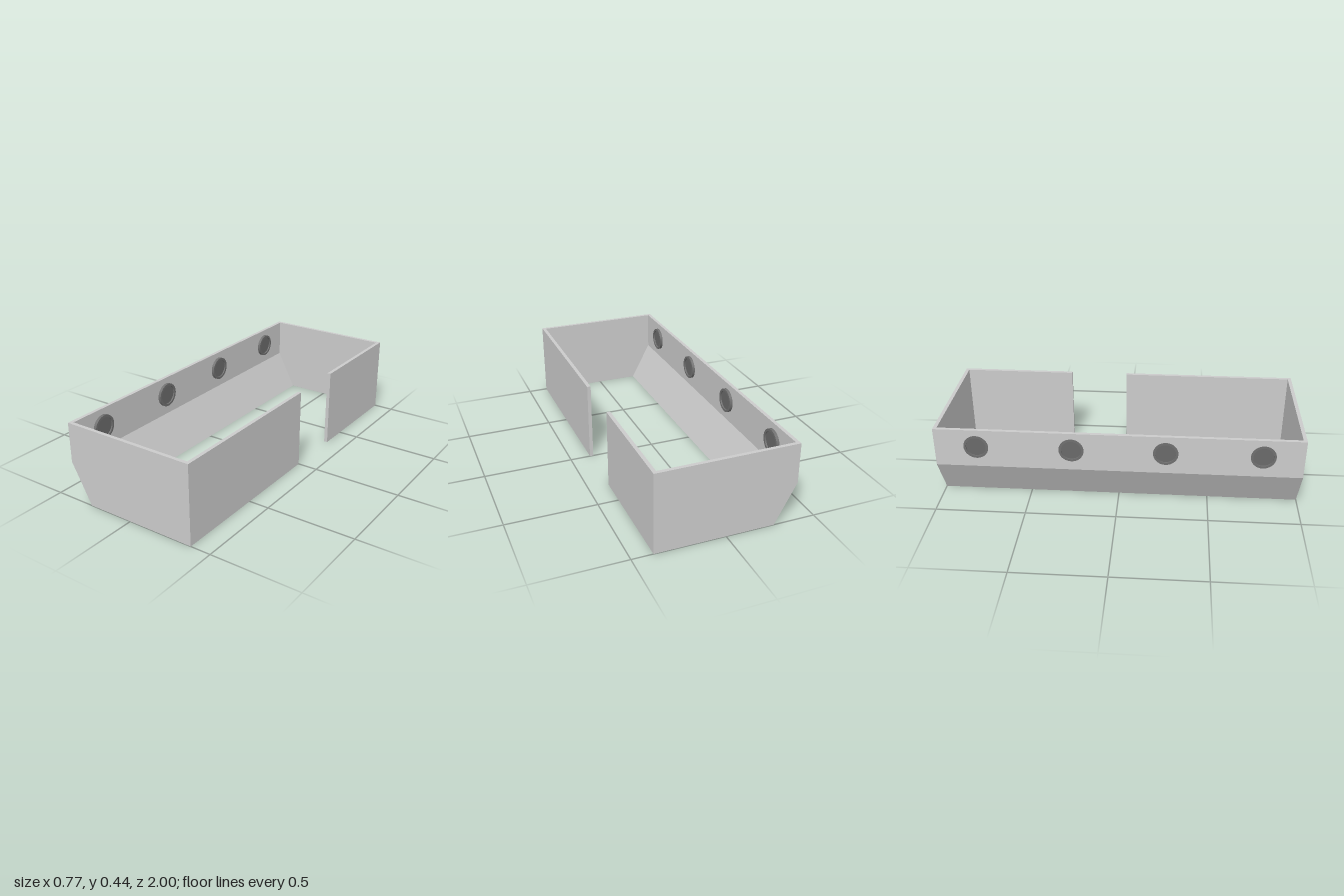
import * as THREE from 'three';

const H = 0.445, X = 0.385, T = 0.02, KNEE = 0.222, FOOT = -0.267;
const PORT_Y = 0.343, PORT_R = 0.068, GLASS_R = 0.055;
const PORT_Z = [-0.77, -0.25, 0.26, 0.78];

const grey = new THREE.MeshStandardMaterial({ color: 0xcccccc });
const darkRim = new THREE.MeshStandardMaterial({ color: 0x707070 });
const darkGlass = new THREE.MeshStandardMaterial({ color: 0x6a6a6a });

const polygon = (pts) => new THREE.Shape(pts.map(([x, y]) => new THREE.Vector2(x, y)));
const circle = (C, x, y, r) => new C().absarc(x, y, r, 0, Math.PI * 2, false);
const extrude = (shape, depth) =>
  new THREE.ExtrudeGeometry(shape, { depth, bevelEnabled: false, curveSegments: 24 });

export function createModel() {
  const model = new THREE.Group();
  const add = (name, geometry, material = grey) => {
    const mesh = new THREE.Mesh(geometry, material);
    mesh.name = name;
    model.add(mesh);
    return mesh;
  };

  // End walls with the chamfered lower corner
  const endShape = polygon([[FOOT, 0], [X, 0], [X, H], [-X, H], [-X, KNEE]]);
  add('frontWall', extrude(endShape, T).translate(0, 0, 1 - T));
  add('backWall', extrude(endShape, T).translate(0, 0, -1));

  // Left side wall, split by the doorway
  for (const [name, z0, z1] of [['leftWallFront', 0, 1 - T], ['leftWallBack', -1 + T, -0.335]]) {
    add(name, new THREE.BoxGeometry(T, H, z1 - z0).translate(X - T / 2, H / 2, (z0 + z1) / 2));
  }

  // Right side: sloping lower panel
  const slope = polygon([[FOOT, 0], [FOOT + T, 0], [-X + T, KNEE], [-X, KNEE]]);
  add('rightLowerPanel', extrude(slope, 2 - 2 * T).translate(0, 0, -1 + T));

  // Right side: upright panel pierced by the portholes (drawn in z, y)
  const e = 1 - T;
  const upright = polygon([[-e, KNEE], [e, KNEE], [e, H], [-e, H]]);
  upright.holes = PORT_Z.map((z) => circle(THREE.Path, z, PORT_Y, PORT_R));
  add('rightUpperPanel', extrude(upright, T).rotateY(-Math.PI / 2).translate(-X + T, 0, 0));

  // Portholes: a rim standing proud of the wall around a recessed pane
  const rim = circle(THREE.Shape, 0, 0, PORT_R);
  rim.holes.push(circle(THREE.Path, 0, 0, GLASS_R));
  const rimGeo = extrude(rim, 0.038).rotateY(-Math.PI / 2).translate(-0.349, 0, 0);
  const paneGeo = new THREE.CylinderGeometry(GLASS_R, GLASS_R, 0.022, 48)
    .rotateZ(Math.PI / 2).translate(-0.368, 0, 0);
  for (const z of PORT_Z) {
    add('portholeRim', rimGeo, darkRim).position.set(0, PORT_Y, z);
    add('portholePane', paneGeo, darkGlass).position.set(0, PORT_Y, z);
  }
  return model;
}
